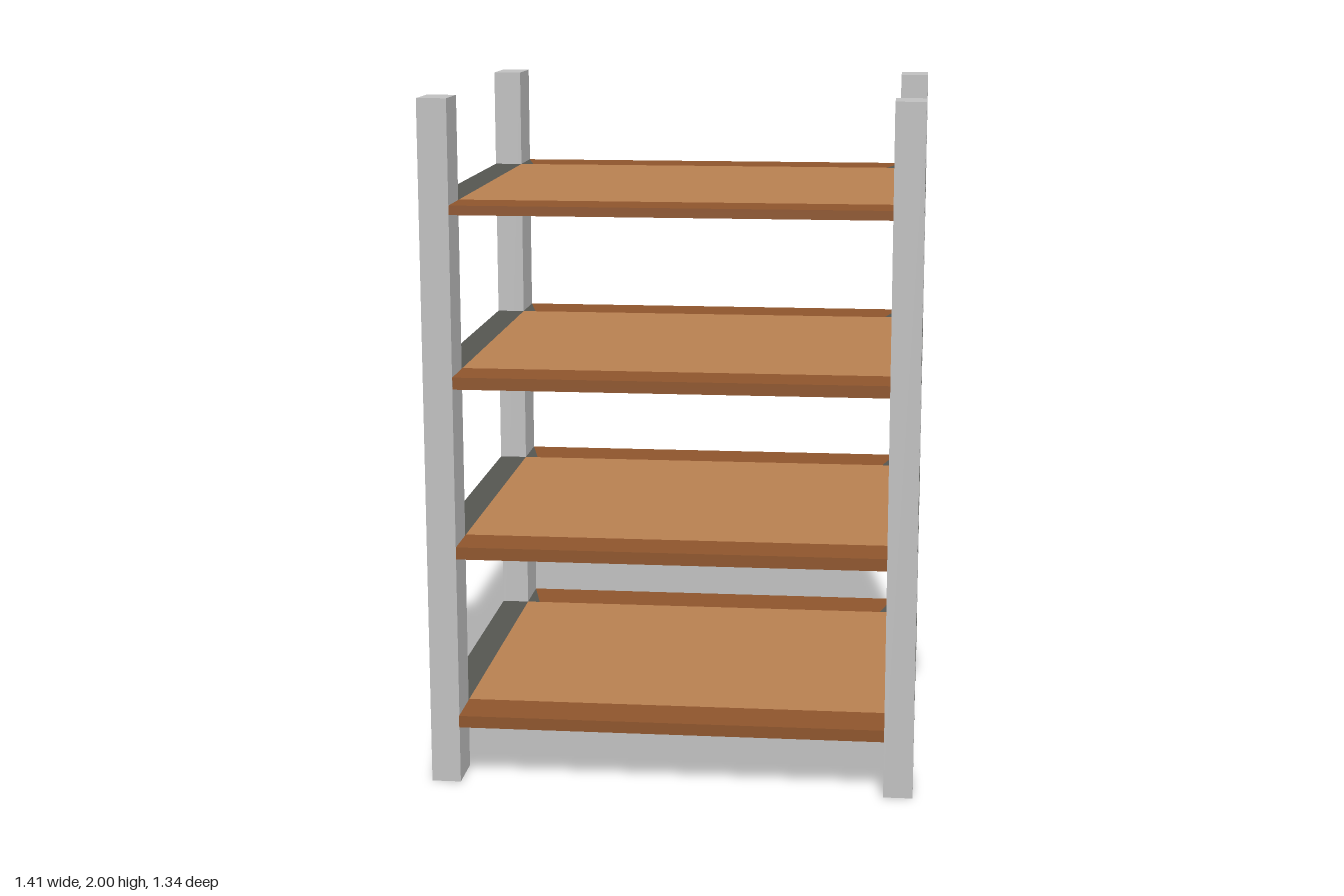
import * as THREE from 'three';

const mat = (name, color) => {
  const m = new THREE.MeshStandardMaterial({ color });
  m.name = name;
  return m;
};

export function createModel() {
  const model = new THREE.Group();
  model.name = 'shelfRack';
  const metal = mat('light grey metal', 0xc0c0c0);
  const dark = mat('dark grey metal', 0x555651);
  const wood = mat('light wood', 0xb88050);
  const trim = mat('dark wood', 0x8e552c);

  // Box given by its limits on each axis
  function box(parent, name, material, [x0, x1], [y0, y1], [z0, z1]) {
    const mesh = new THREE.Mesh(new THREE.BoxGeometry(x1 - x0, y1 - y0, z1 - z0), material);
    mesh.position.set((x0 + x1) / 2, (y0 + y1) / 2, (z0 + z1) / 2);
    mesh.name = name;
    parent.add(mesh);
  }

  // Flat slab cut from an outline of (x, z) points, hanging down from its top
  function slab(parent, name, material, outline, bottom, top) {
    const shape = new THREE.Shape(outline.map(([x, z]) => new THREE.Vector2(x, z)));
    const geo = new THREE.ExtrudeGeometry(shape, { depth: top - bottom, bevelEnabled: false });
    geo.rotateX(Math.PI / 2);
    const mesh = new THREE.Mesh(geo, material);
    mesh.position.y = top;
    mesh.name = name;
    parent.add(mesh);
  }

  // Corner posts
  for (const s of [-1, 1]) {
    const xs = s > 0 ? [0.62, 0.705] : [-0.705, -0.62];
    const side = s > 0 ? 'Left' : 'Right';
    box(model, 'front' + side + 'Post', metal, xs, [0, 2], [0.525, 0.662]);
    box(model, 'back' + side + 'Post', metal, xs, [0, 2], [-0.668, -0.505]);
  }

  // Shelves: panel, front and back trim, side rails with a corner gusset
  [[0.17, 0.205], [0.677, 0.713], [1.177, 1.212], [1.675, 1.702]].forEach(([y0, y1], i) => {
    const shelf = new THREE.Group();
    shelf.name = 'shelf' + (i + 1);
    model.add(shelf);
    const ys = [y0, y1];
    box(shelf, 'panel', wood, [-0.62, 0.62], ys, [-0.505, 0.515]);
    box(shelf, 'frontTrim', trim, [-0.62, 0.62], ys, [0.515, i ? 0.66 : 0.668]);
    slab(shelf, 'backTrim', trim,
      [[-0.62, -0.665], [0.62, -0.665], [0.58, -0.505], [-0.58, -0.505]], y0, y1);
    for (const s of [-1, 1]) {
      const rail = [[0.705, 0.525], [0.62, 0.525], [0.62, -0.505], [0.58, -0.505],
        [0.62, -0.665], [0.63, -0.665], [0.63, -0.505], [0.705, -0.505]];
      slab(shelf, s > 0 ? 'leftRail' : 'rightRail', dark, rail.map(([x, z]) => [s * x, z]), y0, y1);
    }
  });
  return model;
}
